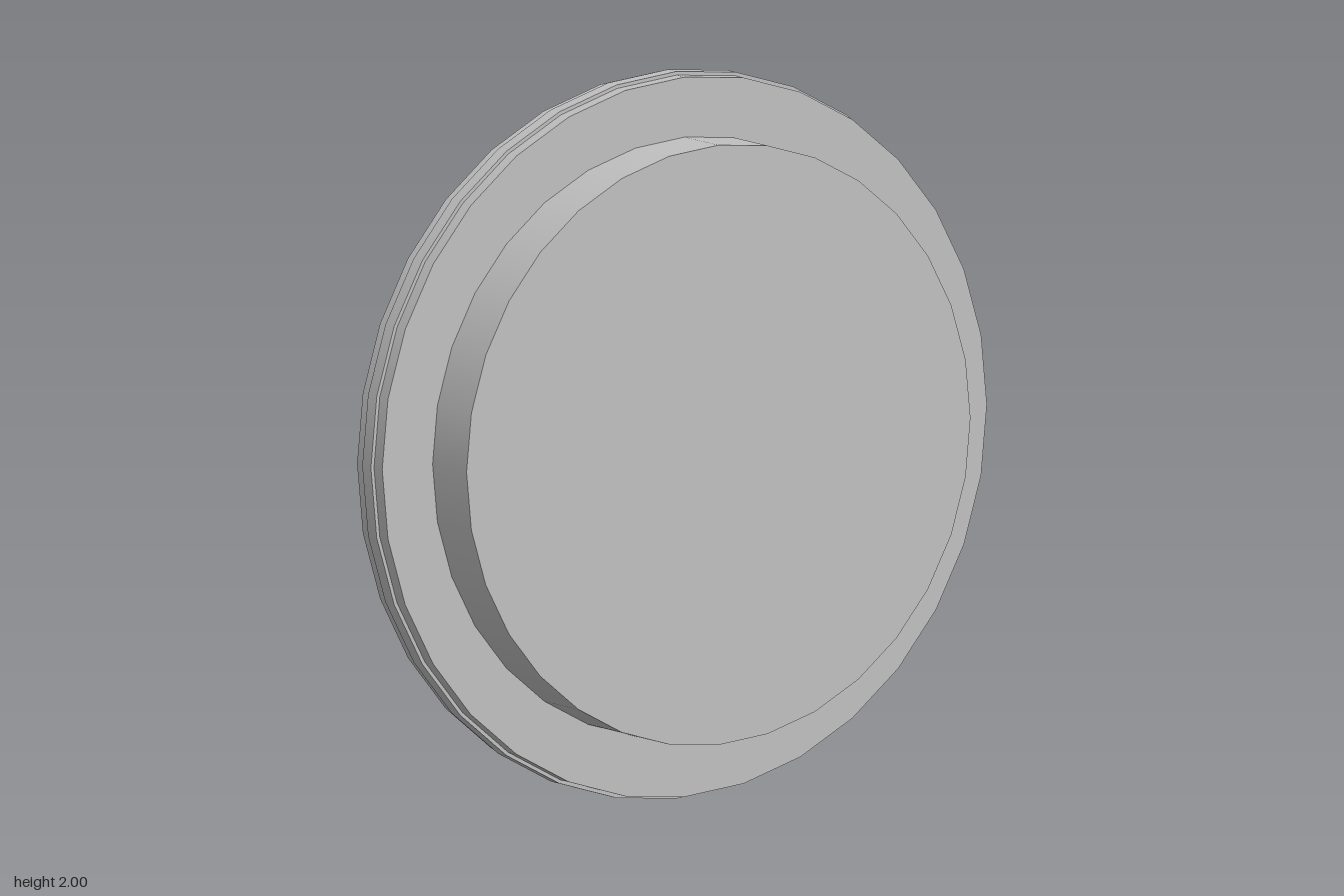
import * as THREE from 'three';

const SEGMENTS = 32;

export function createModel() {
  const model = new THREE.Group();
  const grey = new THREE.MeshStandardMaterial({ color: 0xc0c0c0 });
  grey.name = 'plain grey';

  const add = (name, geometry) => {
    const mesh = new THREE.Mesh(geometry, grey);
    mesh.name = name;
    mesh.position.y = 1;
    model.add(mesh);
  };

  // Solid disc facing along z, from zBack to zFront
  const disc = (name, radius, zBack, zFront) => {
    const g = new THREE.CylinderGeometry(radius, radius, zFront - zBack, SEGMENTS);
    g.rotateX(Math.PI / 2);
    g.translate(0, 0, (zBack + zFront) / 2);
    add(name, g);
  };

  disc('frontPlug', 0.825, -0.018, 0.147);
  disc('frontFlange', 0.99, -0.058, -0.018);
  disc('rimBand', 1.0, -0.1, -0.058);
  disc('backFlange', 0.99, -0.14, -0.1);

  // Low raised ring on the back; each wall has its own normals to keep edges sharp
  const ringOuter = 0.555, ringInner = 0.495, ringBase = -0.14, ringTop = -0.147;
  const wall = (radius, inward) => {
    const pts = [new THREE.Vector2(radius, ringTop), new THREE.Vector2(radius, ringBase)];
    if (inward) pts.reverse();
    const g = new THREE.LatheGeometry(pts, SEGMENTS);
    g.rotateX(Math.PI / 2);
    return g;
  };
  add('ringOuterWall', wall(ringOuter, false));
  add('ringInnerWall', wall(ringInner, true));
  const face = new THREE.RingGeometry(ringInner, ringOuter, SEGMENTS);
  face.rotateY(Math.PI);
  face.translate(0, 0, ringTop);
  add('ringFace', face);

  return model;
}
